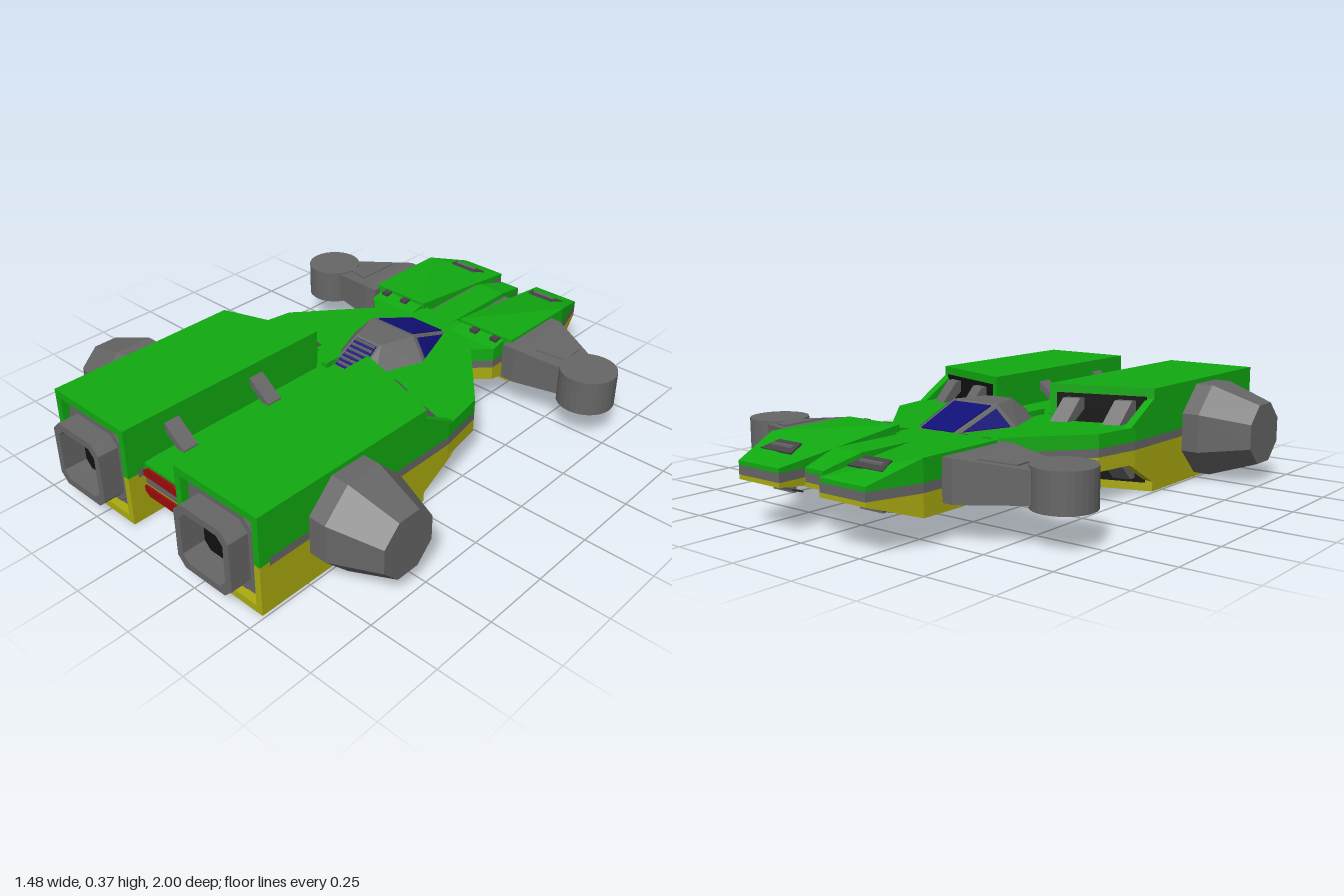
import * as THREE from 'three';
import { ConvexGeometry } from 'three/addons/geometries/ConvexGeometry.js';

const GREEN = 0x11aa11, YELLOW = 0xaaaa11, GREY = 0x666666, DARK = 0x444444;
const NAVY = 0x101078, RED = 0x990c0c, BLACK = 0x101010;
const MID = 0.185; // height of the ship's horizontal mirror plane
const SKIN = [GREEN, YELLOW]; // upper and lower paint

export function createModel() {
  const ship = new THREE.Group();
  ship.name = 'spaceship';
  const mats = {};
  const mat = c => (mats[c] ??= new THREE.MeshStandardMaterial({ color: c, flatShading: true }));

  function add(name, color, geo) {
    const m = new THREE.Mesh(geo, mat(color));
    m.name = name;
    ship.add(m);
    return m;
  }

  // Convex solid from [x, h, z] corners (h = height above MID), mirrored over 'x' and/or 'y'
  function solid(name, color, pts, mirror = '') {
    for (const sx of mirror.includes('x') ? [1, -1] : [1])
      for (const sy of mirror.includes('y') ? [1, -1] : [1]) {
        const c = Array.isArray(color) ? color[sy > 0 ? 0 : 1] : color;
        add(name, c, new ConvexGeometry(pts.map(([x, h, z]) => new THREE.Vector3(sx * x, MID + sy * h, z))));
      }
  }

  // Corners of an upright prism over an [x, z] outline
  const prism = (poly, h0, h1) => poly.flatMap(([x, z]) => [[x, h0, z], [x, h1, z]]);
  const block = (x0, x1, h0, h1, z0, z1) => prism([[x0, z0], [x1, z0], [x1, z1], [x0, z1]], h0, h1);

  // Thin plate lying on a flat face, shrunk towards the face centre
  function plate(name, color, pts, k, mirror, t = 0.004) {
    const v = pts.map(p => new THREE.Vector3(...p));
    const c = v.reduce((a, p) => a.add(p), new THREE.Vector3()).divideScalar(v.length);
    const n = v[1].clone().sub(v[0]).cross(v[2].clone().sub(v[0])).normalize().multiplyScalar(t);
    const out = [];
    for (const p of v) {
      const q = p.clone().sub(c).multiplyScalar(k).add(c);
      out.push(q.clone().add(n).toArray(), q.clone().sub(n).toArray());
    }
    solid(name, color, out, mirror);
  }

  // Middle deck: concave outline extruded in three painted layers
  const half = [[0.09, -0.5], [0.3, -0.5], [0.3, -0.42], [0.24, -0.36], [0.46, -0.1], [0.49, 0.08], [0.49, 0.2],
    [0.46, 0.19], [0.46, 0.115], [0.17, 0.02], [0.17, 0.095], [0.125, 0.08], [0.09, 0.12]];
  const outline = [...half, ...half.map(([x, z]) => [-x, z]).reverse()];
  const deckShape = new THREE.Shape(outline.map(([x, z]) => new THREE.Vector2(x, -z)));
  for (const [h0, h1, c, n] of [[-0.065, -0.015, YELLOW, 'deckLower'], [-0.015, 0.015, GREY, 'deckBand'], [0.015, 0.065, GREEN, 'deckUpper']]) {
    const g = new THREE.ExtrudeGeometry(deckShape, { depth: h1 - h0, bevelEnabled: false });
    add(n, c, g.rotateX(-Math.PI / 2).translate(0, MID + h0, 0));
  }

  // Engine housings with slanted front
  const bay = [[0.125, 0.08], [0.49, 0.2], [0.49, 0.9], [0.125, 0.9]];
  solid('engineHousing', SKIN, prism(bay, 0.015, 0.185), 'xy');
  solid('engineBand', GREY, prism(bay, -0.015, 0.015), 'x');
  plate('intake', BLACK, [[0.125, 0.015, 0.08], [0.49, 0.015, 0.2], [0.49, 0.165, 0.2], [0.125, 0.165, 0.08]], 0.86, 'xy');
  solid('intakeCheek', SKIN, [0.46, 0.49].flatMap(x => [[x, 0.065, 0.2], [x, 0.15, 0.2], [x, 0.065, 0.05]]), 'xy');
  for (const [x, z] of [[0.19, -0.025], [0.37, 0.035]])
    solid('intakeStrut', GREY, [0, 0.06].flatMap(d => {
      const s = z + d * 0.33;
      return [[x + d, 0.05, s], [x + d, 0.05, s + 0.045], [x + d, 0.14, s + 0.095], [x + d, 0.11, s + 0.14], [x + d, 0.14, s + 0.14]];
    }), 'xy');

  // Raised rim around each engine's rear, with a recessed panel
  solid('rimEdge', SKIN, block(0.125, 0.49, 0.158, 0.185, 0.9, 0.94), 'xy');
  for (const x of [0.125, 0.465])
    solid('rimSide', SKIN, block(x, x + 0.025, 0, 0.158, 0.9, 0.94), 'xy');
  solid('rearPanel', GREY, block(0.15, 0.465, -0.158, 0.158, 0.895, 0.91), 'x');

  // Square nozzle with cut corners
  const cutSquare = (T, r, c) => new T([[r, c - r], [r, r - c], [r - c, r], [c - r, r], [-r, r - c], [-r, c - r], [c - r, -r], [r - c, -r]]
    .map(p => new THREE.Vector2(...p)));
  for (const sx of [1, -1]) {
    const ring = (name, c, r, hole, z0, z1) => {
      const s = cutSquare(THREE.Shape, r, r * 0.27);
      if (hole) s.holes.push(cutSquare(THREE.Path, hole, hole * 0.27));
      add(name, c, new THREE.ExtrudeGeometry(s, { depth: z1 - z0, bevelEnabled: false })).position.set(sx * 0.3075, MID, z0);
    };
    ring('nozzleBase', GREY, 0.14, 0.118, 0.905, 0.925);
    ring('nozzle', GREY, 0.122, 0.096, 0.9, 1);
    ring('nozzleInside', BLACK, 0.096, 0, 0.9, 0.915);
  }

  // Octagonal side thrusters
  const octagon = (x, r) => Array.from({ length: 8 }, (_, i) => {
    const a = (i + 0.5) * Math.PI / 4, R = r / Math.cos(Math.PI / 8);
    return [x, R * Math.sin(a), 0.57 + R * Math.cos(a)];
  });
  solid('sideThruster', GREY, [[0.48, 0.168], [0.555, 0.168], [0.635, 0.108], [0.735, 0.108]].flatMap(([x, r]) => octagon(x, r)), 'x');

  // Central spine, side rails, braces and tail lights
  const spine = [[-0.09, 0.1], [0.09, 0.1], [0.09, 0.84], [0.085, 0.9], [-0.085, 0.9], [-0.09, 0.84]];
  solid('spine', SKIN, prism(spine, 0.015, 0.065), 'y');
  solid('spineBand', GREY, prism(spine, -0.015, 0.015));
  solid('spineRail', GREY, block(0.09, 0.126, -0.035, 0.035, 0.29, 0.84), 'x');
  plate('tailLight', RED, [[-0.065, 0.055, 0.9], [0.065, 0.055, 0.9], [0.085, 0.04, 0.9], [0.085, 0.02, 0.9], [-0.085, 0.02, 0.9], [-0.085, 0.04, 0.9]], 1, 'y', 0.008);
  for (const z of [0.35, 0.72])
    solid('brace', GREY, [z, z + 0.06].flatMap(q => [[0.035, 0.06, q], [0.035, 0.07, q], [0.065, 0.06, q], [0.127, 0.14, q], [0.127, 0.11, q]]), 'xy');

  // Canopy above and below the deck
  const A = [0.085, 0.06, -0.41], B = [0.17, 0.06, -0.17], C = [0.1, 0.06, 0.01], D = [0.065, 0.06, 0.07];
  const E = [0.1, 0.14, -0.19], F = [0.058, 0.14, -0.06];
  const flip = ([x, h, z]) => [-x, h, z];
  const side = [A, B, C, D, E, F];
  solid('canopy', GREY, [...side, ...side.map(flip)], 'y');
  plate('frontWindow', NAVY, [A, E, flip(E), flip(A)], 0.84, 'y');
  plate('sideWindow', NAVY, [A, B, E], 0.74, 'xy');
  plate('rearGrille', NAVY, [D, F, flip(F), flip(D)], 0.84, 'y');
  for (let i = 0; i < 6; i++) {
    const t = 0.15 + i * 0.14, z = 0.07 - 0.13 * t, h = 0.06 + 0.08 * t;
    solid('grilleBar', GREY, block(-0.048, 0.048, h - 0.004, h + 0.009, z - 0.004, z + 0.004), 'y');
  }
  solid('canopyFairing', SKIN, block(0.06, 0.085, 0.05, 0.085, 0.0, 0.1), 'xy');

  // Twin nose pods, wedge-shaped at the tip
  const pod = [[0.09, -0.48], [0.335, -0.48], [0.335, -0.82], [0.28, -1], [0.09, -1]];
  solid('nosePod', SKIN, pod.flatMap(([x, z]) => [[x, 0.015, z], [x, z < -0.9 ? 0.03 : 0.09, z]]), 'xy');
  solid('noseBand', GREY, prism(pod, -0.015, 0.015), 'x');
  solid('podShoulder', SKIN, [0.1, 0.3].flatMap(x => [[x, 0.05, -0.42], [x, 0.065, -0.42], [x, 0.05, -0.49], [x, 0.08, -0.49]]), 'xy');
  const slope = z => 0.09 + (z + 0.82) / 3;
  plate('noseVent', DARK, [[0.125, slope(-0.92), -0.92], [0.27, slope(-0.92), -0.92], [0.25, slope(-0.86), -0.86], [0.145, slope(-0.86), -0.86]], 1, 'xy', 0.003);
  solid('ventBar', GREY, block(0.15, 0.245, slope(-0.89) - 0.01, slope(-0.89) + 0.008, -0.897, -0.883), 'xy');
  for (const x of [0.175, 0.27])
    solid('podStud', DARK, block(x - 0.015, x + 0.015, 0.05, 0.085, -0.48, -0.452), 'xy');

  // Narrow centre beak and cross bridge between the pods
  const beak = [[0.04, -0.94], [0.06, -0.8], [0.06, -0.4]];
  const beakFull = [...beak, ...beak.map(([x, z]) => [-x, z])];
  solid('beak', SKIN, beakFull.flatMap(([x, z]) => [[x, 0.015, z], [x, z < -0.9 ? 0.03 : 0.066, z]]), 'y');
  solid('beakBand', GREY, prism(beakFull, -0.015, 0.015));
  solid('noseBridge', GREY, block(-0.1, 0.1, -0.045, 0.045, -0.82, -0.48));

  // Forward arms ending in round pods
  solid('arm', GREY, [...prism([[0.32, -0.74], [0.375, -0.74], [0.375, -0.45], [0.32, -0.45]], -0.06, 0.08),
    ...prism([[0.585, -0.635], [0.585, -0.49]], -0.05, 0.055)], 'x');
  const top = x => 0.08 - (x - 0.375) * 0.119;
  plate('armPanel', GREY, [[0.43, top(0.43), -0.69], [0.535, top(0.535), -0.635], [0.535, top(0.535), -0.535], [0.43, top(0.43), -0.505]], 1, 'x', 0.005);
  for (const sx of [1, -1])
    add('armPod', GREY, new THREE.CylinderGeometry(0.105, 0.105, 0.132, 28)).position.set(sx * 0.635, MID, -0.54);

  return ship;
}
